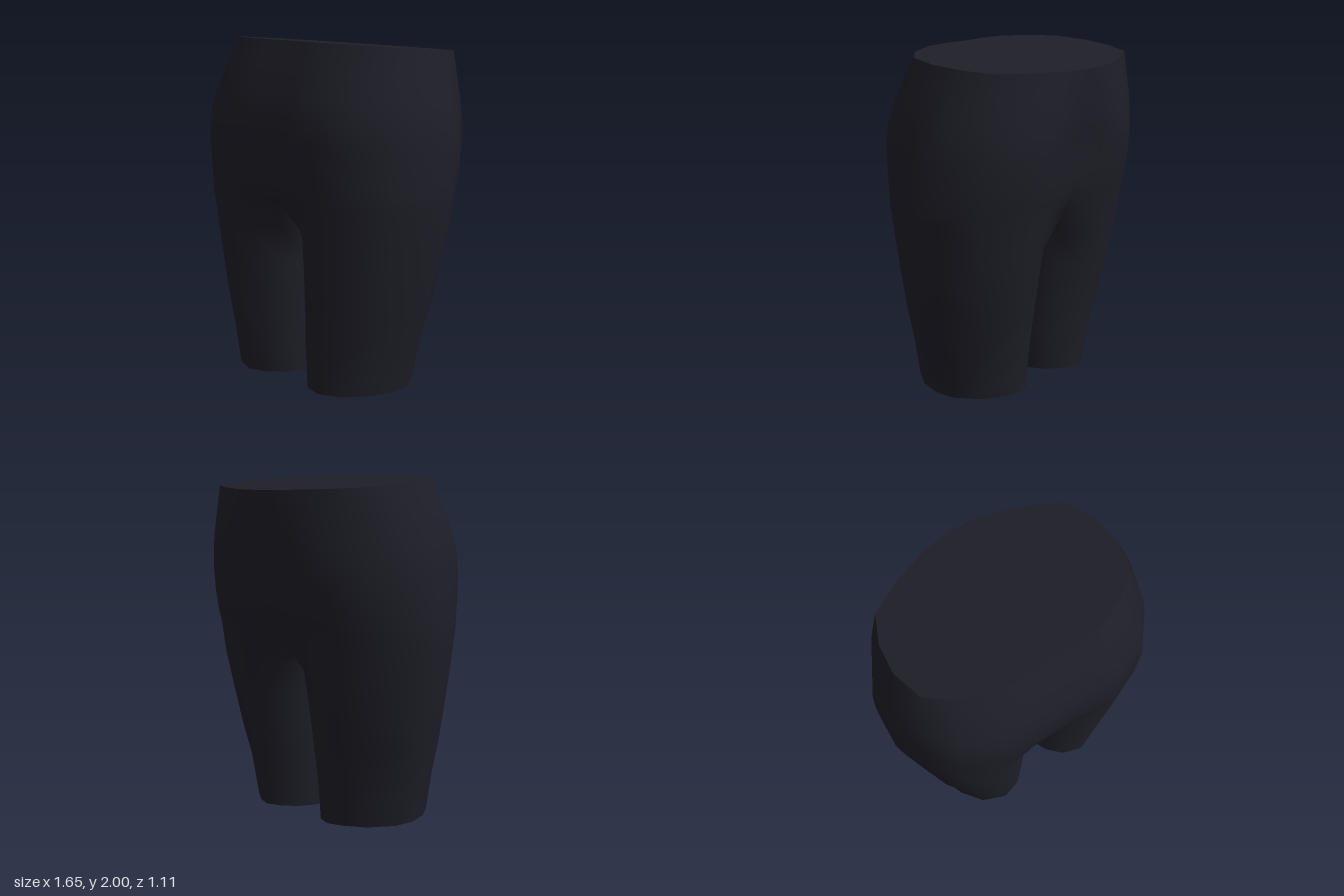
import * as THREE from 'three';
import { mergeVertices, mergeGeometries } from 'three/addons/utils/BufferGeometryUtils.js';

// Half cross-sections: [u, v], u = inner to outer side, v = back to front.
// Order: front seam, round the outside to the back seam.
const HIP = [[.47, 1], [.73, .92], [.9, .75], [1, .54], [.985, .36], [.82, .155], [.6, .045], [.42, 0]];
const WAIST = [[.47, .98], [.74, .9], [.93, .78], [1, .58], [.97, .39], [.86, .21], [.57, .1], [.3, .03]];
// Inner side of the leg, back seam to front seam
const THIGH = [[.25, .045], [.1, .15], [.025, .27], [0, .4], [0, .58], [.02, .71], [.09, .83], [.25, .95]];
// Arch between the legs: [u, v, y]
const ARCH = [[.22, .03, 1.1], [0, .08, 1.08], [0, .2, 1.01], [0, .38, .95], [0, .6, .95], [0, .8, 1.03], [0, .94, 1.09], [.25, .99, 1.1]];
// Centre columns of the trunk, back pair and front pair: [hip, waist]
const TRUNK = {
  8: [[.2, .025], [.15, .008]], 9: [[0, .045], [0, 0]],
  14: [[0, .992], [0, .985]], 15: [[.24, .998], [.24, .995]],
};

// Rows: y, inner x, outer x, back z, front z
const ROWS = [
  [0, .05, .59, -.27, .44], [.25, .04, .64, -.3, .46], [.45, .035, .7, -.34, .475],
  [.7, .03, .75, -.39, .495], [.9, .017, .79, -.43, .51],
  [1.1, 0, .82, -.455, .53], [1.18, 0, .823, -.48, .535], [1.3, 0, .825, -.505, .545],
  [1.45, 0, .82, -.525, .555], [1.56, 0, .807, -.54, .55], [1.67, 0, .785, -.55, .52],
  [1.82, 0, .743, -.553, .46], [1.967, 0, .7, -.555, .395],
];
const ARCH_ROW = 5, TOP = ROWS.length - 1, COLS = 16;
const TRUNK_LOOP = [14, 15, 0, 1, 2, 3, 4, 5, 6, 7, 8, 9];

function point(r, c) {
  const [y0, xi, xo, zb, zf] = ROWS[r];
  const t = THREE.MathUtils.clamp((y0 - 1.45) / .517, 0, 1); // hip to waist
  const blend = (a, b) => a.map((value, i) => THREE.MathUtils.lerp(value, b[i], t));
  let u, v, y = y0;
  if (c < 8) [u, v] = blend(HIP[c], WAIST[c]);
  else if (r < ARCH_ROW) [u, v] = THIGH[c - 8];
  else if (r === ARCH_ROW) [u, v, y] = ARCH[c - 8];
  else [u, v] = blend(...TRUNK[c]);
  const z = zb + (zf - zb) * v;
  return [xi + (xo - xi) * u, y + .085 * z * t, z]; // waistline slopes to the back
}

// Geometry from a list of triangles, mirrored on request
function surface(triangles, mirror) {
  const pos = [];
  for (const tri of triangles) {
    const corners = mirror ? [tri[0], tri[2], tri[1]] : tri;
    for (const [x, y, z] of corners) pos.push(mirror ? -x : x, y, z);
  }
  const g = new THREE.BufferGeometry();
  g.setAttribute('position', new THREE.Float32BufferAttribute(pos, 3));
  return g;
}

// Both halves welded together with smooth normals
function mirrored(triangles) {
  const g = mergeVertices(mergeGeometries([surface(triangles, false), surface(triangles, true)]), 1e-4);
  g.computeVertexNormals();
  return g;
}

export function createModel() {
  const group = new THREE.Group();
  const fabric = new THREE.MeshStandardMaterial({ color: 0x1e1e28, side: THREE.DoubleSide });
  fabric.name = 'dark navy fabric';
  const add = (name, triangles) => {
    const mesh = new THREE.Mesh(mirrored(triangles), fabric);
    mesh.name = name;
    group.add(mesh);
  };

  // Outer skin: full loops on the legs, open at the middle on the trunk
  const skin = [];
  for (let r = 0; r < TOP; r++) {
    for (let c = 0; c < COLS; c++) {
      if (r >= ARCH_ROW && c >= 9 && c < 14) continue;
      const n = (c + 1) % COLS;
      const a = point(r, c), b = point(r, n), d = point(r + 1, n), e = point(r + 1, c);
      skin.push([a, b, d], [a, d, e]);
    }
  }
  add('shortsBody', skin);

  // Sloping flat waist
  const waist = [];
  const middle = [0, 1.96, -.08];
  for (let i = 0; i < TRUNK_LOOP.length - 1; i++) {
    waist.push([middle, point(TOP, TRUNK_LOOP[i]), point(TOP, TRUNK_LOOP[i + 1])]);
  }
  add('waistCap', waist);

  // Narrow hem turned in around each open leg
  const hem = [];
  const inset = ([x, y, z]) => [.32 + (x - .32) * .9, y, .08 + (z - .08) * .9];
  for (let c = 0; c < COLS; c++) {
    const a = point(0, c), b = point(0, (c + 1) % COLS);
    hem.push([a, inset(a), inset(b)], [a, inset(b), b]);
  }
  add('legHems', hem);

  return group;
}
